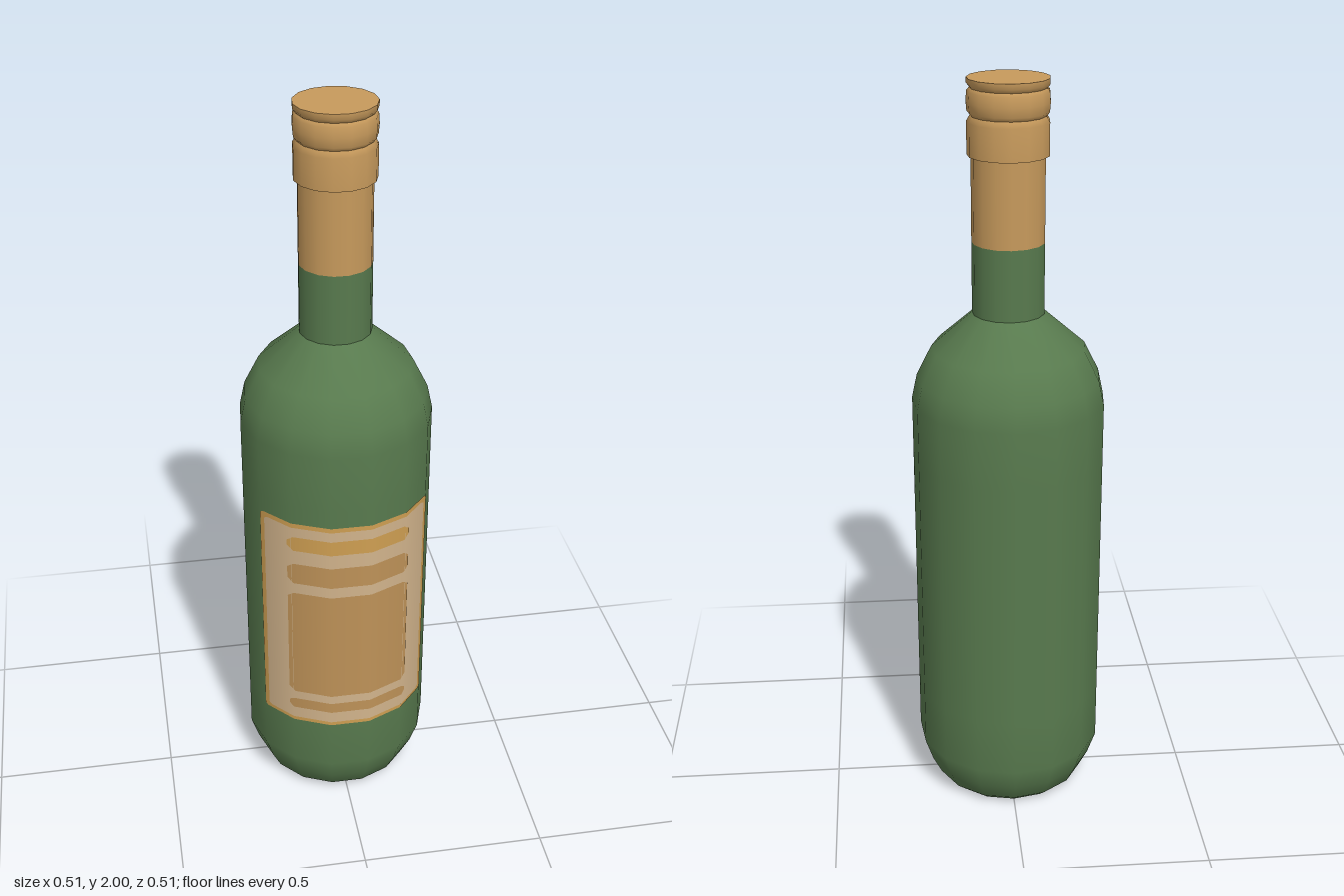
import * as THREE from 'three';

const SIDES = 15;
const R = 0.257;

const mat = (name, color, side = THREE.FrontSide) => {
  const m = new THREE.MeshStandardMaterial({ color, side });
  m.name = name;
  return m;
};

// Half-widths of the front facets' corners: x and z of the body polygon near the front
const corners = [12, 36, 60, 84].map((d) => {
  const a = THREE.MathUtils.degToRad(d);
  return [R * Math.sin(a), R * Math.cos(a)];
});

// Depth of the faceted body wall at a given x
function wallZ(x) {
  const ax = Math.abs(x);
  if (ax <= corners[0][0]) return corners[0][1];
  for (let i = 1; i < corners.length; i++) {
    const [x0, z0] = corners[i - 1], [x1, z1] = corners[i];
    if (ax <= x1) return z0 + (z1 - z0) * (ax - x0) / (x1 - x0);
  }
  return 0;
}

// Thin printed panel wrapped on the body wall, with cut corners
function wrappedPanel(halfWidth, y0, y1, cut, lift) {
  const inner = corners.map((c) => c[0]).filter((x) => x < halfWidth - cut - 0.002);
  const right = [...inner, halfWidth - cut, halfWidth];
  const xs = [...right.map((x) => -x).reverse(), ...right];
  const pos = [], nor = [], idx = [];
  xs.forEach((x, i) => {
    const inset = i === 0 || i === xs.length - 1 ? cut : 0;
    const z = wallZ(x), k = 1 / Math.hypot(x, z);
    for (const y of [y0 + inset, y1 - inset]) {
      pos.push(x + x * k * lift, y, z + z * k * lift);
      nor.push(x * k, 0, z * k);
    }
    if (i > 0) {
      const a = 2 * i - 2;
      idx.push(a, a + 2, a + 3, a, a + 3, a + 1);
    }
  });
  const g = new THREE.BufferGeometry();
  g.setAttribute('position', new THREE.Float32BufferAttribute(pos, 3));
  g.setAttribute('normal', new THREE.Float32BufferAttribute(nor, 3));
  g.setIndex(idx);
  return g;
}

export function createModel() {
  const group = new THREE.Group();
  group.name = 'bottle';

  const glass = mat('green glass', 0x587a4e);
  const foil = mat('tan foil', 0xc79a5c);
  const paper = mat('cream paper', 0xd2b48c, THREE.DoubleSide);
  const gold = mat('gold print', 0xcf9f52, THREE.DoubleSide);
  const print = mat('brown print', 0xbe9258, THREE.DoubleSide);

  const add = (name, geometry, material) => {
    const mesh = new THREE.Mesh(geometry, material);
    mesh.name = name;
    group.add(mesh);
  };
  // Turned part, with one polygon corner pointing straight back
  const turned = (name, profile, material) => add(name, new THREE.LatheGeometry(
    profile.map(([r, y]) => new THREE.Vector2(r, y)), SIDES, Math.PI, Math.PI * 2), material);

  // Glass
  turned('base', [[0, 0.005], [0.185, 0.003]], glass);
  turned('body', [[0.185, 0.003], [0.21, 0.025], [0.235, 0.075], [0.257, 0.14],
    [0.257, 0.3], [0.257, 1.0], [0.257, 1.16], [0.243, 1.225], [0.203, 1.305], [0.095, 1.4]], glass);
  turned('neck', [[0.095, 1.4], [0.095, 1.588]], glass);

  // Foil and cap
  turned('foilSleeve', [[0.095, 1.588], [0.095, 1.82]], foil);
  turned('capUnderside', [[0.093, 1.81], [0.105, 1.81]], foil);
  turned('capSkirt', [[0.105, 1.81], [0.105, 1.893], [0.096, 1.908]], foil);
  turned('capRing', [[0.096, 1.908], [0.104, 1.918], [0.106, 1.942], [0.104, 1.968], [0.097, 1.976]], foil);
  turned('capLip', [[0.097, 1.976], [0.105, 1.986], [0.105, 2]], foil);
  turned('capTop', [[0.105, 2], [0, 2]], foil);

  // Label and its printed panels
  add('labelBorder', wrappedPanel(0.221, 0.288, 0.953, 0.006, 0.002), gold);
  add('labelPaper', wrappedPanel(0.211, 0.3, 0.941, 0.006, 0.0035), paper);
  add('labelTopBar', wrappedPanel(0.16, 0.87, 0.913, 0.014, 0.005), gold);
  add('labelUpperBar', wrappedPanel(0.16, 0.765, 0.828, 0.014, 0.005), print);
  add('labelPanel', wrappedPanel(0.16, 0.394, 0.733, 0.014, 0.005), print);
  add('labelBottomBar', wrappedPanel(0.16, 0.336, 0.368, 0.01, 0.005), print);

  return group;
}
